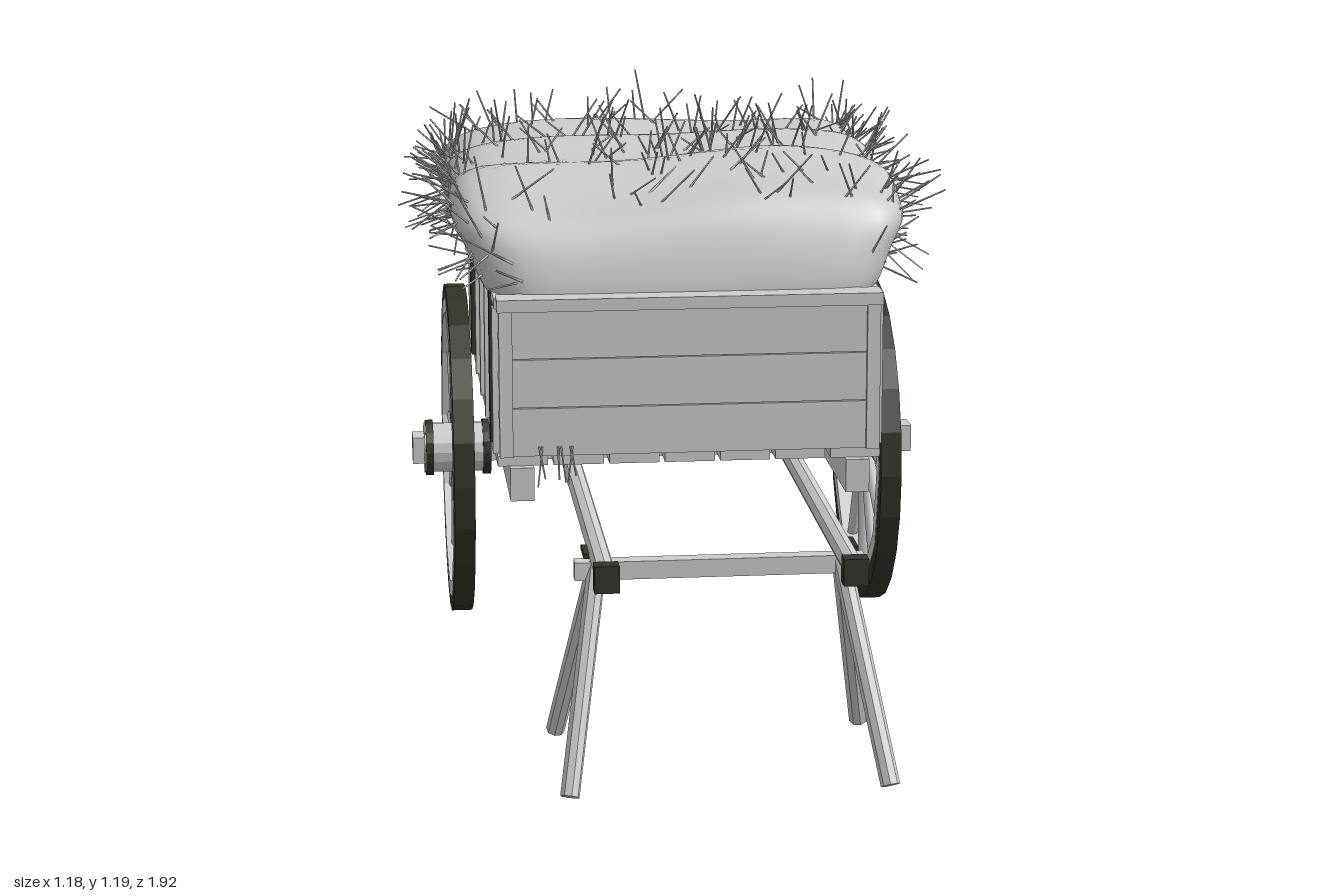
import * as THREE from 'three';
import { mergeGeometries } from 'three/addons/utils/BufferGeometryUtils.js';
import { ParametricGeometry } from 'three/addons/geometries/ParametricGeometry.js';

export function createModel() {
  const root = new THREE.Group();
  const cart = new THREE.Group();
  cart.name = 'hayCart';
  cart.position.x = -0.005;
  root.add(cart);

  const mat = (name, color) => {
    const m = new THREE.MeshStandardMaterial({ color });
    m.name = name;
    return m;
  };
  const wood = mat('wood', 0xcccccc);
  const hayMat = mat('hay', 0xcacaca);
  const iron = mat('dark iron', 0x32322a);

  const V = (x, y, z) => new THREE.Vector3(x, y, z);
  const UP = V(0, 1, 0);
  const flat = (g) => {
    const n = g.toNonIndexed();
    n.computeVertexNormals();
    return n;
  };
  const add = (name, geo, material, parent = cart) => {
    const m = new THREE.Mesh(geo, material);
    m.name = name;
    parent.add(m);
    return m;
  };
  // box given by its min and max on each axis
  const box = (name, x0, x1, y0, y1, z0, z1, material = wood, parent = cart) => {
    const m = add(name, new THREE.BoxGeometry(x1 - x0, y1 - y0, z1 - z0), material, parent);
    m.position.set((x0 + x1) / 2, (y0 + y1) / 2, (z0 + z1) / 2);
    return m;
  };
  // round bar between two points
  const barGeo = (a, b, r0, r1 = r0, sides = 8) => {
    const d = b.clone().sub(a);
    const g = new THREE.CylinderGeometry(r1, r0, d.length(), sides);
    g.applyQuaternion(new THREE.Quaternion().setFromUnitVectors(UP, d.normalize()));
    g.translate((a.x + b.x) / 2, (a.y + b.y) / 2, (a.z + b.z) / 2);
    return g;
  };

  const BACK = -0.92, FRONT = 0.27, AXLE_Y = 0.378, AXLE_Z = -0.323;

  // floor planks running front to back
  const pitch = 0.82 / 7;
  for (let i = 0; i < 7; i++) {
    const x = -0.41 + i * pitch;
    box('floorPlank', x + 0.006, x + pitch - 0.006, 0.477, 0.499, BACK + 0.02, FRONT - 0.02);
  }

  // front and back boards with caps
  for (const [name, z0, z1] of [['front', 0.228, 0.258], ['back', -0.908, -0.878]]) {
    for (let i = 0; i < 3; i++) {
      const y = 0.499 + i * 0.104;
      box(name + 'Board', -0.39, 0.39, y, y + 0.102, z0, z1);
    }
    box(name + 'Cap', -0.404, 0.404, 0.81, 0.836, z0 - 0.015, z1 + 0.02);
  }

  for (const s of [-1, 1]) {
    const side = new THREE.Group();
    side.name = s > 0 ? 'leftSide' : 'rightSide';
    cart.add(side);
    const sbox = (name, xa, xb, y0, y1, z0, z1, m = wood) =>
      box(name, Math.min(s * xa, s * xb), Math.max(s * xa, s * xb), y0, y1, z0, z1, m, side);

    // side boards, top rail, uprights and iron straps
    for (let i = 0; i < 3; i++) {
      const y = 0.499 + i * 0.104;
      sbox('sideBoard', 0.37, 0.39, y, y + 0.102, -0.878, 0.228);
    }
    sbox('sideRail', 0.365, 0.408, 0.81, 0.83, -0.878, 0.228);
    for (const z of [0.21, -0.11, -0.323, -0.54, -0.86])
      sbox('sideUpright', 0.39, 0.412, 0.499, 0.81, z - 0.014, z + 0.014);
    for (const z of [0.11, -0.75])
      sbox('ironStrap', 0.365, 0.413, 0.499, 0.834, z - 0.016, z + 0.016, iron);
    for (const z of [0.25, -0.9])
      sbox('cornerPost', 0.372, 0.4, 0.499, 0.832, z - 0.018, z + 0.018);

    // chassis rail and shaft
    sbox('chassisRail', 0.329, 0.379, 0.406, 0.477, BACK, FRONT);
    add('shaft', flat(barGeo(V(s * 0.238, 0.44, -0.4), V(s * 0.238, 0.44, 0.96), 0.021)), wood, side);
    sbox('shaftCap', 0.214, 0.262, 0.414, 0.467, 0.953, 0.99, iron);
    sbox('legPin', 0.257, 0.269, 0.433, 0.443, 0.745, 0.815, iron);

    // splayed prop legs
    for (const dz of [-0.2, 0.2])
      add('propLeg', flat(barGeo(V(s * 0.24, 0.415, 0.78), V(s * 0.311, 0.008, 0.78 + dz), 0.019)), wood, side);

    // wheel, built with its axis along x
    const wheel = new THREE.Group();
    wheel.name = s > 0 ? 'leftWheel' : 'rightWheel';
    wheel.position.set(s * 0.465, AXLE_Y, AXLE_Z);
    cart.add(wheel);
    const ring = (name, rIn, rOut, h, seg, m) => {
      const p = [[rIn, -h], [rOut, -h], [rOut, h], [rIn, h], [rIn, -h]].map(([a, b]) => new THREE.Vector2(a, b));
      const g = flat(new THREE.LatheGeometry(p, seg));
      add(name, g.rotateZ(Math.PI / 2), m, wheel);
    };
    ring('tyre', 0.334, 0.369, 0.0225, 24, iron);
    ring('rim', 0.312, 0.346, 0.0235, 12, wood);
    for (let i = 0; i < 12; i++) {
      const a = i * Math.PI / 6, c = Math.cos(a), n = Math.sin(a);
      add('spoke', barGeo(V(0, 0.04 * c, 0.04 * n), V(0, 0.318 * c, 0.318 * n), 0.014, 0.012), wood, wheel);
    }
    const drum = (name, xa, xb, r, m) =>
      add(name, flat(barGeo(V(s * xa, 0, 0), V(s * xb, 0, 0), r, r, 16)), m, wheel);
    drum('hub', -0.055, 0.062, 0.056, wood);
    drum('innerHubBand', -0.073, -0.055, 0.063, iron);
    drum('outerHubBand', 0.056, 0.073, 0.063, iron);
    drum('hubFace', 0.07, 0.076, 0.057, wood);
    box('axleNut', s * 0.088 - 0.014, s * 0.088 + 0.014, -0.03, 0.03, -0.03, 0.03, wood, wheel);
  }

  // axle and the cross bar of the prop
  box('axle', -0.55, 0.55, AXLE_Y - 0.027, AXLE_Y + 0.029, AXLE_Z - 0.028, AXLE_Z + 0.028);
  box('crossBar', -0.285, 0.285, 0.384, 0.42, 0.762, 0.796);

  // hay heap: rounded rectangles (half width, height, half depth) lofted upwards
  const spine = new THREE.CatmullRomCurve3([
    V(0.35, 0.68, 0.53), V(0.365, 0.77, 0.545), V(0.418, 0.825, 0.558), V(0.453, 0.9, 0.543),
    V(0.484, 0.965, 0.512), V(0.474, 1.012, 0.468), V(0.43, 1.042, 0.405),
    V(0.32, 1.06, 0.29), V(0.16, 1.07, 0.145), V(0.002, 1.072, 0.002),
  ]);
  const hayPoint = (u, v, out) => {
    const p = spine.getPoint(v), a = u * Math.PI * 2;
    const c = Math.cos(a), n = -Math.sin(a), e = 10;
    const r = 1 / Math.pow(Math.abs(c) ** e + Math.abs(n) ** e, 1 / e);
    const x = p.x * c * r, z = -0.333 + p.z * n * r;
    const lift = THREE.MathUtils.smoothstep(p.y, 0.85, 1.04);
    const wave = 0.011 * Math.cos((z + 0.36 + 0.05 * Math.sin(x * 5)) * 22) + 0.007 * Math.sin(x * 9 + z * 5);
    const bulge = 1 + 0.01 * Math.sin(z * 17 + p.y * 9) * Math.abs(c);
    return out.set(x * bulge, p.y + wave * lift, z);
  };
  add('hayHeap', new ParametricGeometry(hayPoint, 96, 40), hayMat);

  // loose straws, thickest along the two long sides of the heap
  let seed = 7;
  const rnd = () => (seed = (seed * 16807) % 2147483647) / 2147483647;
  const sym = () => rnd() * 2 - 1;
  const straws = [];
  for (let i = 0; i < 380; i++) {
    const onSide = i % 8 < 4;
    const u = onSide ? (i % 2) * 0.5 + 1 + sym() * 0.14 : rnd();
    const v = onSide ? 0.26 + rnd() * 0.38 : 0.48 + rnd() * 0.48;
    const a = hayPoint(u, v, V());
    const du = hayPoint(u + 0.002, v, V()).sub(a), dv = hayPoint(u, v + 0.002, V()).sub(a);
    const dir = du.cross(dv).normalize().multiplyScalar(0.65);
    dir.add(V(sym() * 0.7, sym() * 0.5 + 0.2, sym() * 0.7)).normalize();
    const tip = a.clone().addScaledVector(dir, 0.04 + rnd() * 0.08);
    straws.push(barGeo(a.addScaledVector(dir, -0.02), tip, 0.0025, 0.0018, 4));
  }
  // a few straws hanging below the boards
  for (let i = 0; i < 6; i++) {
    const a = V(-0.34 + rnd() * 0.1, 0.52, 0.262);
    straws.push(barGeo(a, V(a.x + sym() * 0.02, 0.43 + rnd() * 0.04, 0.28), 0.0022, 0.0018, 4));
  }
  add('looseStraw', mergeGeometries(straws), hayMat);

  return root;
}
